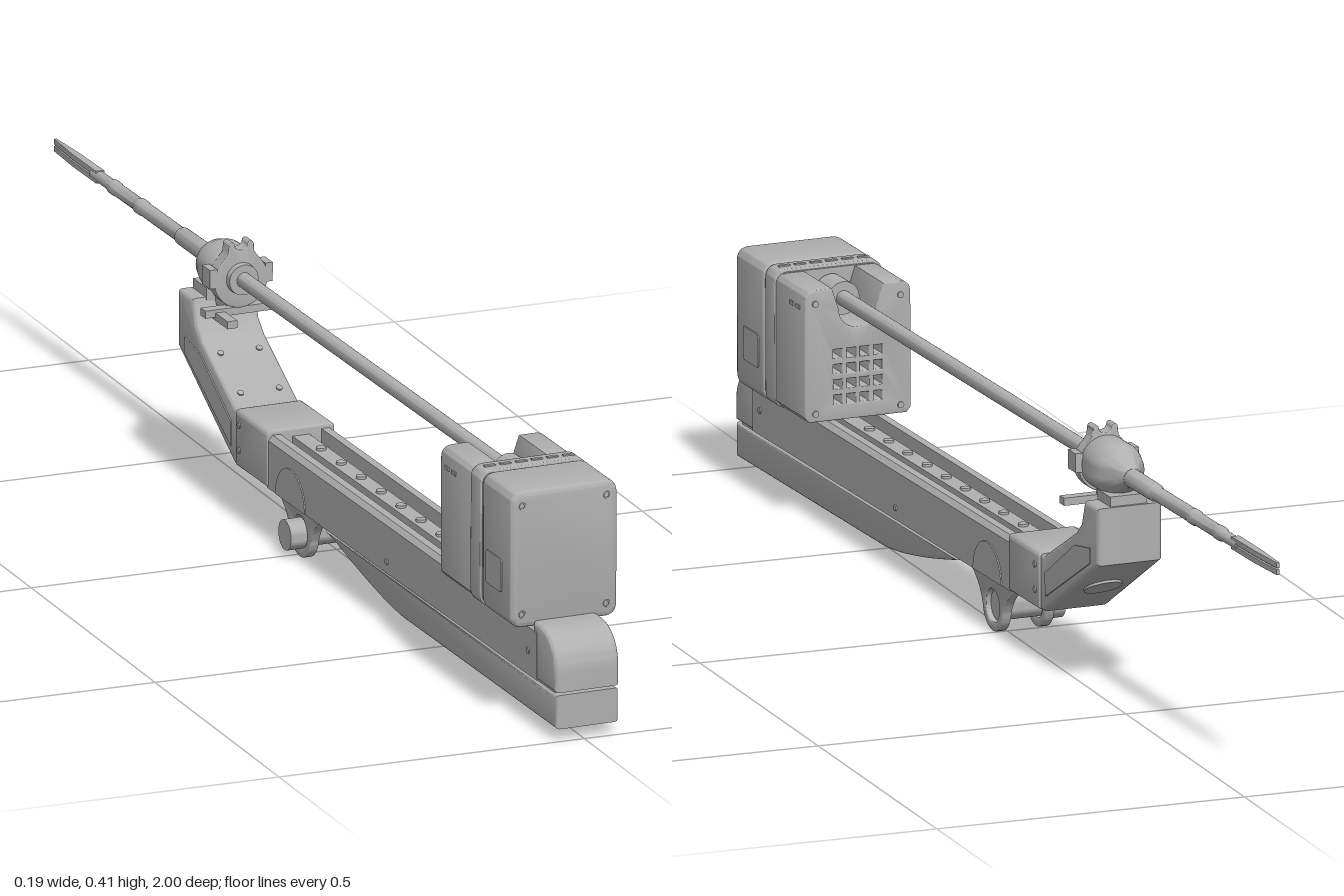
import * as THREE from 'three';
import { toCreasedNormals } from 'three/addons/utils/BufferGeometryUtils.js';

export function createModel() {
  const grey = new THREE.MeshStandardMaterial({ color: 0xb0b0b0 });
  grey.name = 'grey';
  const root = new THREE.Group();
  root.name = 'instrumentArm';
  const arm = new THREE.Group();
  arm.name = 'arm';
  root.add(arm);

  const add = (name, geo, x = 0, y = 0, z = 0, rx = 0) => {
    const m = new THREE.Mesh(toCreasedNormals(geo, 0.6), grey);
    m.name = name;
    m.position.set(x, y, z);
    m.rotation.x = rx;
    arm.add(m);
    return m;
  };
  // Extrusion along z, centred, with a bevel that stays inside the outline
  const extrude = (shape, depth, b = 0) => {
    const g = new THREE.ExtrudeGeometry(shape, {
      depth: depth - 2 * b, bevelEnabled: b > 0, bevelSize: b, bevelOffset: -b,
      bevelThickness: b, bevelSegments: 3, curveSegments: 12,
    });
    return g.translate(0, 0, -depth / 2 + b);
  };
  // Side profile in (z, y), extruded across x
  const across = (shape, width, b) => extrude(shape, width, b).rotateY(-Math.PI / 2);
  const poly = (pts) => new THREE.Shape(pts.map(([a, b]) => new THREE.Vector2(a, b)));
  const cylX = (r, len) => new THREE.CylinderGeometry(r, r, len, 28).rotateZ(Math.PI / 2);
  const cylZ = (r, len) => new THREE.CylinderGeometry(r, r, len, 28).rotateX(Math.PI / 2);
  // Turned part along z from [radius, z] pairs, z decreasing
  const turned = (pts) => new THREE.LatheGeometry(pts.map(([r, z]) => new THREE.Vector2(r, -z)), 28).rotateX(-Math.PI / 2);
  const rounded = (w, y0, y1, r) => {
    const s = new THREE.Shape(), h = w / 2;
    s.moveTo(-h + r, y0);
    s.lineTo(h - r, y0).quadraticCurveTo(h, y0, h, y0 + r);
    s.lineTo(h, y1 - r).quadraticCurveTo(h, y1, h - r, y1);
    s.lineTo(-h + r, y1).quadraticCurveTo(-h, y1, -h, y1 - r);
    s.lineTo(-h, y0 + r).quadraticCurveTo(-h, y0, -h + r, y0);
    return s;
  };

  // Long beam: channel section with a raised centre rail
  const section = poly([[-0.054, 0.086], [0.054, 0.086], [0.054, 0.162], [0.047, 0.17], [0.034, 0.17],
    [0.034, 0.145], [0.014, 0.145], [0.014, 0.164], [-0.014, 0.164], [-0.014, 0.145],
    [-0.034, 0.145], [-0.034, 0.17], [-0.047, 0.17], [-0.054, 0.162]]);
  add('beam', extrude(section, 1.01), 0, 0, 0.425);
  for (let i = 0; i < 9; i++) add('railBolt', new THREE.CylinderGeometry(0.008, 0.008, 0.004, 16), 0, 0.166, 0.6 - i * 0.075);

  // Rounded nose of the beam
  const nose = new THREE.Shape();
  nose.moveTo(0.915, 0.086);
  nose.lineTo(1, 0.086).lineTo(1, 0.115);
  nose.bezierCurveTo(1, 0.15, 0.975, 0.175, 0.935, 0.176);
  nose.lineTo(0.915, 0.176);
  add('beamNose', across(nose, 0.106, 0.006));

  // Lower housing, tapering up at its rear end
  const lower = new THREE.Shape();
  lower.moveTo(1, 0.082);
  lower.lineTo(1, 0.028).lineTo(0.42, 0.03);
  lower.quadraticCurveTo(0.32, 0.036, 0.13, 0.082);
  add('lowerHousing', across(lower, 0.104, 0.006));
  add('beamSeam', new THREE.BoxGeometry(0.094, 0.012, 0.8), 0, 0.084, 0.585);
  add('undersidePad', new THREE.CylinderGeometry(0.028, 0.028, 0.006, 28).scale(1, 1, 1.5), 0, 0.027, 0.74);

  // Rear cap and cranked bracket
  add('beamCap', extrude(rounded(0.112, 0.086, 0.177, 0.008), 0.12, 0.003), 0, 0, -0.135);
  const crank = poly([[-0.18, 0.086], [-0.205, 0.086], [-0.418, 0.21], [-0.418, 0.3], [-0.365, 0.3],
    [-0.352, 0.262], [-0.33, 0.242], [-0.205, 0.174], [-0.18, 0.174]]);
  add('crank', across(crank, 0.106, 0.006));
  const panel = poly([[-0.215, 0.112], [-0.39, 0.208], [-0.39, 0.232], [-0.33, 0.222], [-0.215, 0.15]]);
  for (const s of [-1, 1]) add('crankSidePanel', across(panel, 0.004), s * 0.053);
  add('crankDisc', new THREE.CylinderGeometry(0.03, 0.03, 0.008, 28), 0, 0.148, -0.311, 0.52);
  for (const x of [-0.032, 0.032]) for (const t of [0.2, 0.8])
    add('crankBolt', new THREE.CylinderGeometry(0.005, 0.005, 0.005, 14), x, 0.174 + 0.068 * t, -0.205 - 0.125 * t, 0.5);

  // Pivot below the beam: two cheeks, axle and a knob on the right
  const cheek = new THREE.Shape();
  cheek.moveTo(0.115, 0.09);
  cheek.quadraticCurveTo(0.065, 0.075, 0.05, 0.036);
  cheek.absarc(0.01, 0.041, 0.04, -0.12, -Math.PI + 0.12, true);
  cheek.quadraticCurveTo(-0.045, 0.075, -0.1, 0.09);
  const bore = new THREE.Path();
  bore.absarc(0.01, 0.041, 0.026, 0, Math.PI * 2, false);
  cheek.holes.push(bore);
  for (const x of [-0.032, 0.039]) add('pivotCheek', across(cheek, 0.015, 0.002), x);
  add('pivotAxle', cylX(0.024, 0.072), 0.003, 0.041, 0.01);
  add('pivotKnob', cylX(0.024, 0.028), -0.048, 0.037, 0.005);
  const arch = new THREE.Shape();
  arch.absarc(0.01, 0.087, 0.055, 0, Math.PI, false);
  for (const s of [-1, 1]) add('pivotArch', across(arch.clone(), 0.003), s * 0.0545);

  // Drive unit: front shell, ribbed seam and slotted rear shell
  add('driveFront', extrude(rounded(0.177, 0.166, 0.384, 0.022), 0.112, 0.008), 0, 0, 0.857);
  add('driveSeam', extrude(rounded(0.171, 0.169, 0.38, 0.02), 0.05), 0, 0, 0.78);
  add('driveBand', extrude(rounded(0.177, 0.166, 0.384, 0.022), 0.038, 0.002), 0, 0, 0.778);
  const rear = new THREE.Shape();
  rear.moveTo(-0.08, 0.172);
  rear.lineTo(0.08, 0.172).lineTo(0.087, 0.18).lineTo(0.087, 0.36);
  rear.quadraticCurveTo(0.087, 0.379, 0.068, 0.379);
  rear.lineTo(0.042, 0.379).lineTo(0.031, 0.346);
  rear.absarc(0, 0.346, 0.031, 0, -Math.PI, true);
  rear.lineTo(-0.042, 0.379).lineTo(-0.068, 0.379);
  rear.quadraticCurveTo(-0.087, 0.379, -0.087, 0.36);
  rear.lineTo(-0.087, 0.18);
  for (let c = 0; c < 4; c++) for (let r = 0; r < 4; r++) {
    const x = -0.033 + c * 0.022, y = 0.204 + r * 0.024, vent = new THREE.Path();
    vent.moveTo(x - 0.007, y - 0.007);
    vent.lineTo(x - 0.007, y + 0.007).lineTo(x + 0.007, y + 0.007).lineTo(x + 0.007, y - 0.007);
    rear.holes.push(vent);
  }
  add('driveRear', extrude(rear, 0.115, 0.002), 0, 0, 0.702);
  add('driveCoupling', cylZ(0.026, 0.05), 0, 0.346, 0.725);
  for (const x of [-0.07, 0.07]) for (const y of [0.188, 0.361]) {
    add('frontScrew', new THREE.TorusGeometry(0.0045, 0.0015, 8, 20), x, y, 0.913);
    add('rearScrew', cylZ(0.005, 0.004), x, y - 0.003, 0.644);
  }
  for (const s of [-1, 1]) {
    add('sideLatch', across(rounded(0.058, 0.215, 0.268, 0.006), 0.004), s * 0.0885, 0, 0.85);
    for (const z of [0.67, 0.695]) add('sideSlot', new THREE.BoxGeometry(0.003, 0.006, 0.014), s * 0.0875, 0.35, z);
  }
  for (let i = 0; i < 6; i++) add('topRib', new THREE.BoxGeometry(0.018, 0.003, 0.006), -0.065 + i * 0.026, 0.3845, 0.778);

  // Instrument shaft and stepped distal tube
  add('shaft', cylZ(0.012, 1.1), 0, 0.346, 0.2);
  add('distalTube', turned([[0, -0.38], [0.015, -0.38], [0.014, -0.52], [0.0115, -0.525], [0.0115, -0.66],
    [0.0125, -0.665], [0.0125, -0.68], [0.0105, -0.685], [0.0105, -0.76], [0.0115, -0.765], [0.0115, -0.78],
    [0.009, -0.79], [0.009, -0.85], [0, -0.85]]), 0, 0.346);
  // Pair of tapered jaws
  const jaw = poly([[-0.007, -0.83], [0.007, -0.83], [0.0065, -0.92], [0.0025, -0.998], [-0.0025, -0.998], [-0.0065, -0.92]]);
  for (const s of [-1, 1])
    add('jaw', extrude(jaw, 0.009, 0.001).rotateX(Math.PI / 2).scale(1, 1, 1).translate(0, s * 0.0055, 0), 0, 0.346, 0);
  // The jaw outline is laid flat, so keep it pointing away from the drive unit
  arm.children.filter((m) => m.name === 'jaw').forEach((m) => { m.position.y = 0.346; });

  // Hub: cylinder and cone around the shaft
  add('hub', turned([[0, -0.29], [0.024, -0.29], [0.026, -0.31], [0.038, -0.315], [0.042, -0.325], [0.042, -0.37],
    [0.036, -0.39], [0.02, -0.415], [0.015, -0.43], [0, -0.43]]), 0, 0.346);
  // Clamp plate with two horns
  const clamp = new THREE.Shape();
  clamp.absarc(0, 0.343, 0.044, Math.PI - 0.7, Math.PI * 2 + 0.7, false);
  clamp.lineTo(0.022, 0.386).lineTo(0.021, 0.399);
  clamp.absarc(0.0155, 0.399, 0.005, 0, Math.PI, false);
  clamp.quadraticCurveTo(0.009, 0.391, 0, 0.391);
  clamp.quadraticCurveTo(-0.009, 0.391, -0.0105, 0.399);
  clamp.absarc(-0.0155, 0.399, 0.005, 0, Math.PI, false);
  clamp.lineTo(-0.022, 0.386);
  add('clampPlate', extrude(clamp, 0.024, 0.002), 0, 0, -0.312);
  for (const s of [-1, 1]) add('clampEar', new THREE.BoxGeometry(0.012, 0.03, 0.03), s * 0.046, 0.35, -0.315);
  // Cradle and release lever below the hub
  add('cradle', new THREE.BoxGeometry(0.06, 0.035, 0.05), 0, 0.298, -0.388);
  add('leverBar', new THREE.BoxGeometry(0.125, 0.012, 0.018), 0.008, 0.291, -0.32);
  add('leverTab', new THREE.BoxGeometry(0.016, 0.012, 0.06), -0.03, 0.286, -0.295);
  add('leverPost', new THREE.BoxGeometry(0.03, 0.02, 0.045), 0, 0.298, -0.345);

  // Side screws
  for (const s of [-1, 1]) for (const [z, y] of [[0.9, 0.125], [0.37, 0.105], [-0.18, 0.155], [-0.18, 0.115]])
    add('sideScrew', cylX(0.005, 0.004), s * (z < 0 ? 0.056 : 0.054), y, z);

  // The whole arm sits slightly yawed and pitched
  arm.rotation.set(0.007, 0.031, 0, 'YXZ');
  arm.position.set(-0.026, 0, 0);
  return root;
}
